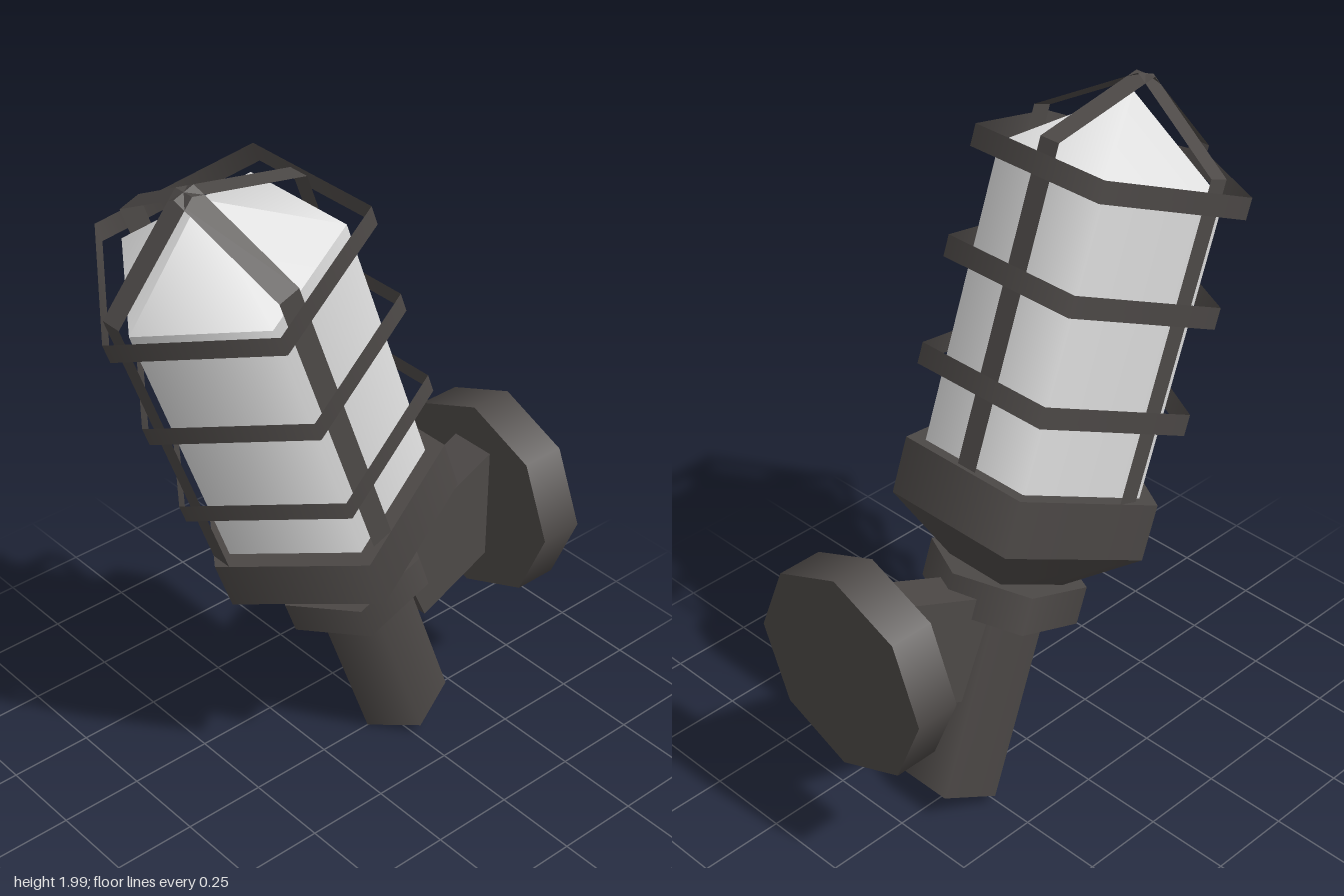
import * as THREE from 'three';

export function createModel() {
  const model = new THREE.Group();
  model.name = 'wallLamp';

  const metal = new THREE.MeshStandardMaterial({ name: 'dark metal', color: 0x4d4947, side: THREE.DoubleSide });
  const frosted = new THREE.MeshStandardMaterial({ name: 'frosted glass', color: 0xe2e2e2 });

  function add(parent, name, geometry, material = metal) {
    const mesh = new THREE.Mesh(geometry, material);
    mesh.name = name;
    parent.add(mesh);
    return mesh;
  }

  // Lamp leans forward; its axis is local y
  const lean = THREE.MathUtils.degToRad(20);
  const axis = -0.302;
  const tilt = new THREE.Group();
  tilt.name = 'lamp';
  tilt.rotation.x = lean;
  model.add(tilt);
  const lamp = new THREE.Group();
  lamp.name = 'lampBody';
  lamp.position.z = axis;
  tilt.add(lamp);

  // Prism or frustum between two heights on the lamp axis
  function drum(name, rTop, rBottom, y0, y1, sides = 5, open = false, material = metal) {
    const g = new THREE.CylinderGeometry(rTop, rBottom, y1 - y0, sides, 1, open);
    g.translate(0, (y0 + y1) / 2, 0);
    return add(lamp, name, g, material);
  }

  drum('handleTube', 0.14, 0.14, -0.056, 0.62);
  drum('collar', 0.226, 0.226, 0.512, 0.624, 6);
  drum('cupTaper', 0.365, 0.155, 0.613, 0.777);
  drum('cup', 0.365, 0.365, 0.777, 0.939);
  drum('glassBody', 0.311, 0.311, 0.93, 1.77, 5, true, frosted);
  drum('glassCone', 0, 0.311, 1.77, 1.968, 5, true, frosted);

  // Thin cage hoops
  for (const y of [1.147, 1.446, 1.744]) drum('cageHoop', 0.382, 0.382, y, y + 0.06, 5, true);

  // Folded straps: up one side, over the peak, down the other
  const profile = [[-0.31, 0.935], [-0.31, 1.835], [0, 2.015], [0.31, 1.835], [0.31, 0.935]];
  for (const turn of [0, Math.PI / 2]) {
    const flat = new THREE.PlaneGeometry(1, 1, profile.length - 1, 1);
    const p = flat.attributes.position;
    for (let i = 0; i < p.count; i++) {
      const [x, y] = profile[i % profile.length];
      p.setXYZ(i, x, y, i < profile.length ? -0.032 : 0.032);
    }
    const g = flat.toNonIndexed();
    g.computeVertexNormals();
    const strap = add(lamp, 'cageStrap', g);
    strap.rotation.y = turn;
    strap.position.z = 0.031;
  }

  // Sloping arm from the wall plate to the collar
  const armLength = 0.405;
  const armGeometry = new THREE.BoxGeometry(0.14, 0.318, armLength);
  armGeometry.translate(0, 0, -armLength / 2);
  const arm = add(model, 'arm', armGeometry);
  arm.position.set(0, 0.53, -0.26);
  arm.rotation.x = THREE.MathUtils.degToRad(24.2);

  // Octagonal wall plate
  const plateGeometry = new THREE.CylinderGeometry(0.304, 0.304, 0.132, 8);
  plateGeometry.rotateX(Math.PI / 2);
  add(model, 'wallPlate', plateGeometry).position.set(0, 0.66, -0.629);

  return model;
}
